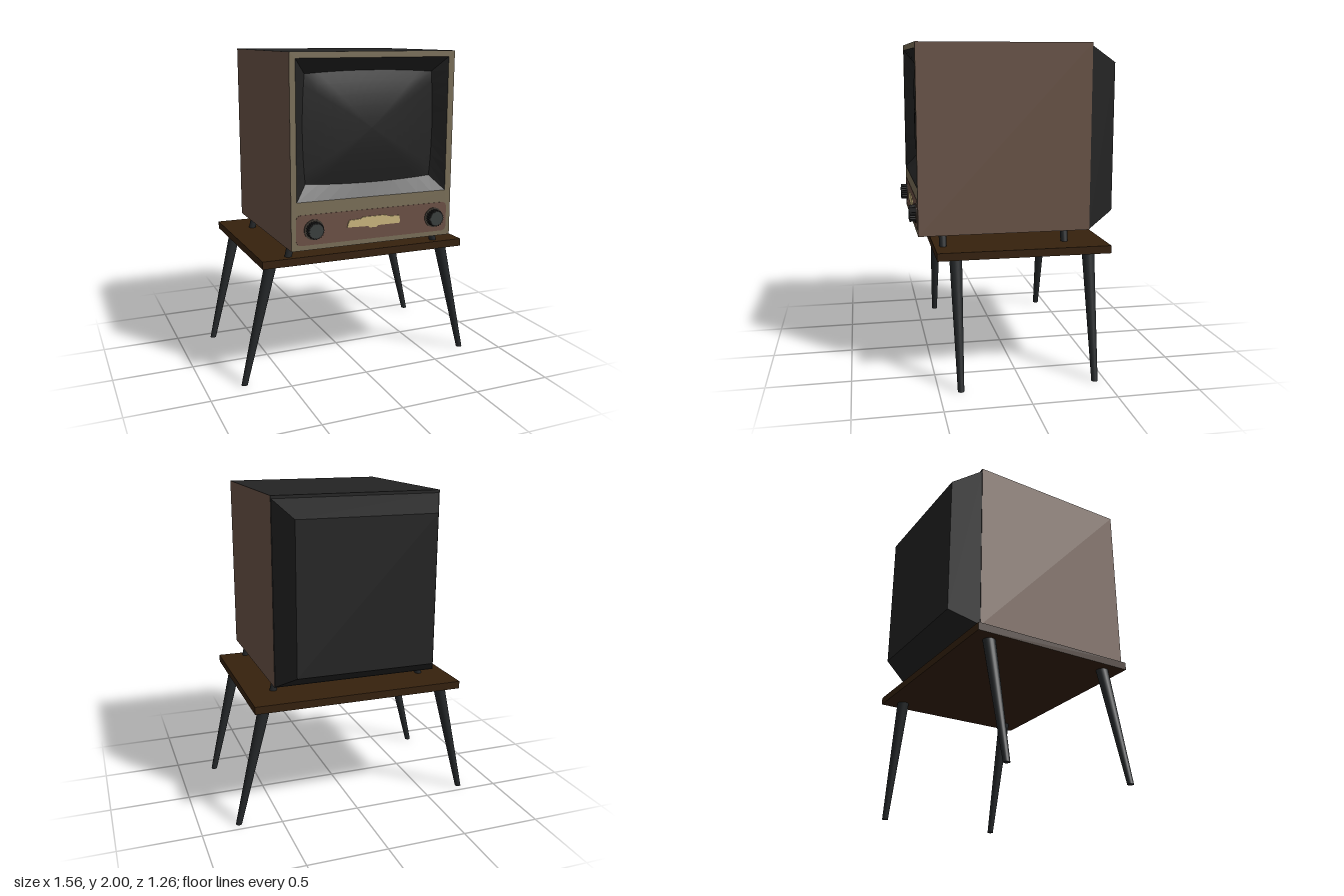
import * as THREE from 'three';

const mat = (name, color) => {
  const m = new THREE.MeshStandardMaterial({ color });
  m.name = name;
  return m;
};

export function createModel() {
  const black = mat('black casing', 0x232323);
  const brown = mat('brown side', 0x6b5447);
  const olive = mat('olive frame', 0x7a6f58);
  const panelBrown = mat('control panel brown', 0x6c5145);
  const gold = mat('pale gold', 0xcbb67e);
  const wood = mat('dark wood', 0x36210d);
  const legBlack = mat('leg black', 0x25282a);
  const ringGrey = mat('knob ring', 0x3f3932);
  const capGrey = mat('knob cap', 0x3a3f3e);

  const group = new THREE.Group();
  const add = (name, geo, material, x = 0, y = 0, z = 0) => {
    const m = new THREE.Mesh(geo, material);
    m.name = name;
    m.position.set(x, y, z);
    group.add(m);
    return m;
  };

  const FRONT = 0.585, BACK = -0.46, W = 0.52, Y0 = 0.875, Y1 = 2;

  // Cabinet: brown sides, black elsewhere, open at the front
  const cabinet = new THREE.BoxGeometry(W * 2, Y1 - Y0, FRONT - BACK);
  cabinet.groups = cabinet.groups.filter((g) => g.materialIndex !== 4);
  add('cabinet', cabinet, [brown, brown, black, black, black, black],
    0, (Y0 + Y1) / 2, (FRONT + BACK) / 2);

  // Tapered rear housing
  const rear = new THREE.BoxGeometry(1, 1, 0.17);
  const p = rear.attributes.position;
  for (let i = 0; i < p.count; i++) {
    const back = p.getZ(i) < 0;
    p.setX(i, p.getX(i) * (back ? 0.86 : 1.032));
    p.setY(i, p.getY(i) * (back ? 0.91 : 1.105));
  }
  rear.computeVertexNormals();
  add('rearHousing', rear, black, 0, 1.43, BACK - 0.085);

  // Front frame with the screen opening
  const rectPath = (target, x0, x1, y0, y1) => {
    target.moveTo(x0, y0).lineTo(x1, y0).lineTo(x1, y1).lineTo(x0, y1).closePath();
    return target;
  };
  const frame = rectPath(new THREE.Shape(), -W, W, Y0, Y1);
  frame.holes.push(rectPath(new THREE.Path(), -0.485, 0.48, 1.16, 1.965));
  add('frontFrame', new THREE.ShapeGeometry(frame), olive, 0, 0, FRONT);

  // Rectangular outline with optionally bowed edges, counter-clockwise
  const SEG = 10;
  const outline = (hw, hh, bow, z) => {
    const corners = [[-1, -1], [1, -1], [1, 1], [-1, 1]];
    const pts = [];
    corners.forEach(([ax, ay], k) => {
      const [bx, by] = corners[(k + 1) % 4];
      for (let i = 0; i < SEG; i++) {
        const t = i / SEG, out = bow * 4 * t * (1 - t);
        pts.push([
          (ax + (bx - ax) * t) * hw + (ax === bx ? ax * out : 0),
          (ay + (by - ay) * t) * hh + (ay === by ? ay * out : 0), z]);
      }
    });
    return pts;
  };
  const loft = (rings) => {
    const n = rings[0].length, index = [];
    for (let r = 0; r < rings.length - 1; r++) {
      for (let i = 0; i < n; i++) {
        const a = r * n + i, b = r * n + (i + 1) % n;
        index.push(a, b, b + n, a, b + n, a + n);
      }
    }
    const g = new THREE.BufferGeometry();
    g.setAttribute('position', new THREE.Float32BufferAttribute(rings.flat(2), 3));
    g.setIndex(index);
    return g;
  };

  // Sloping surround between the frame and the glass
  const surround = loft([outline(0.483, 0.403, 0, 0), outline(0.405, 0.315, 0.015, -0.07)]).toNonIndexed();
  surround.computeVertexNormals();
  add('screenSurround', surround, black, -0.002, 1.5625, FRONT);

  // Gently bulging glass
  const glassRings = [1, 0.8, 0.6, 0.4, 0.2, 0.001].map((s) =>
    outline(0.405 * s, 0.315 * s, 0.015 * s, -0.07 + 0.035 * (1 - s * s)));
  const glass = loft(glassRings);
  glass.computeVertexNormals();
  add('screenGlass', glass, black, -0.002, 1.5625, FRONT);

  // Control panel with rounded corners
  const plate = (shape, depth) => new THREE.ExtrudeGeometry(shape, { depth, bevelEnabled: false, curveSegments: 6 });
  const panel = new THREE.Shape();
  const pw = 0.492, ph = 0.09, r = 0.03;
  panel.absarc(pw - r, ph - r, r, 0, Math.PI / 2);
  panel.absarc(-pw + r, ph - r, r, Math.PI / 2, Math.PI);
  panel.absarc(-pw + r, -ph + r, r, Math.PI, Math.PI * 1.5);
  panel.absarc(pw - r, -ph + r, r, Math.PI * 1.5, Math.PI * 2);
  add('controlPanel', plate(panel, 0.003), panelBrown, 0, 0.995, FRONT);

  // Blank ornamental plate
  const badge = new THREE.Shape([
    [-0.175, -0.012], [-0.04, -0.016], [-0.03, -0.026], [0.012, -0.026], [0.025, -0.016], [0.165, -0.016],
    [0.172, -0.006], [0.165, 0.03], [0.09, 0.032], [0.075, 0.042], [-0.075, 0.042], [-0.09, 0.032],
    [-0.16, 0.03], [-0.17, 0.01],
  ].map(([x, y]) => new THREE.Vector2(x, y)));
  add('ornamentPlate', plate(badge, 0.007), gold, 0, 1, FRONT + 0.002);

  // Ridged knobs
  const TEETH = 20;
  const ridged = new THREE.Shape(Array.from({ length: TEETH * 4 }, (_, i) => {
    const a = (i / (TEETH * 4)) * Math.PI * 2, rad = i % 4 < 2 ? 0.051 : 0.046;
    return new THREE.Vector2(Math.cos(a) * rad, Math.sin(a) * rad);
  }));
  const disc = (rad, h) => new THREE.CylinderGeometry(rad, rad, h, 32).rotateX(Math.PI / 2);
  for (const x of [-0.383, 0.403]) {
    add('knobRing', disc(0.061, 0.008), ringGrey, x, 0.995, FRONT + 0.004);
    add('knob', plate(ridged, 0.04), black, x, 0.995, FRONT + 0.002);
    add('knobCap', disc(0.042, 0.004), capGrey, x, 0.995, FRONT + 0.043);
  }

  // Table top
  add('tableTop', new THREE.BoxGeometry(1.33, 0.047, 1.045), wood, 0, 0.782, -0.032);

  // Tapered post, sheared so both ends stay level
  const post = (name, rTop, rBot, y0, y1, xTop, xBot, z, side) => {
    const g = new THREE.CylinderGeometry(rTop, rBot, y1 - y0, 20);
    const shear = (xTop - xBot) * side / (y1 - y0);
    g.applyMatrix4(new THREE.Matrix4().set(1, shear, 0, 0, 0, 1, 0, 0, 0, 0, 1, 0, 0, 0, 0, 1));
    add(name, g, legBlack, side * (xTop + xBot) / 2, (y0 + y1) / 2, z);
  };
  for (const side of [-1, 1]) {
    for (const z of [0.373, -0.436]) post('tableLeg', 0.038, 0.019, 0, 0.762, 0.577, 0.761, z, side);
    for (const z of [0.437, -0.31]) post('cabinetFoot', 0.024, 0.022, 0.8, 0.88, 0.472, 0.492, z, side);
  }

  return group;
}
